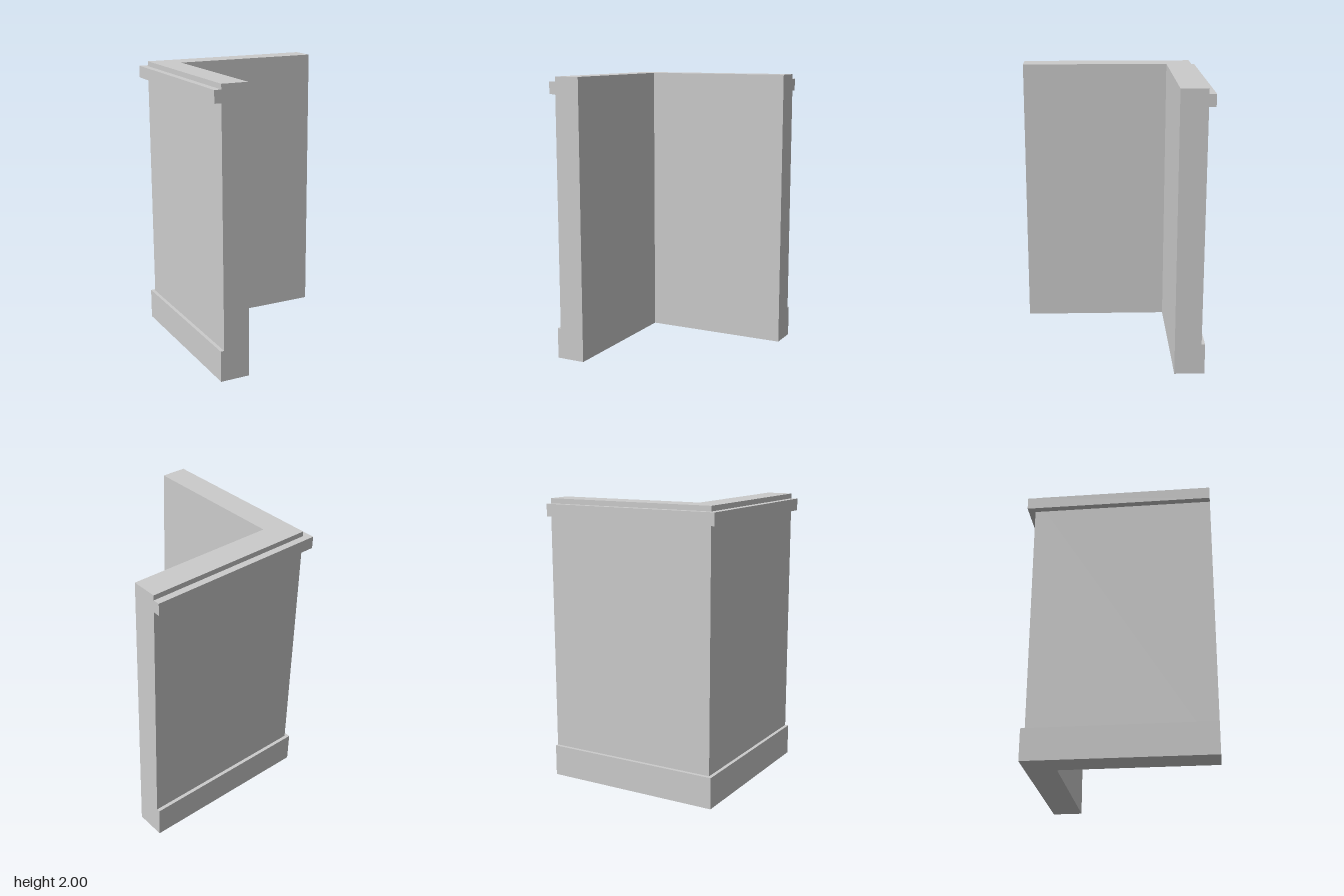
import * as THREE from 'three';

const END = 0.648;    // free ends of both wall arms
const INNER = -0.415; // room-side face
const OUTER = -0.6;   // outside face

// L-shaped course between two offsets, from height y0 to y1
function cornerCourse(name, outer, inner, y0, y1, material) {
  const plan = [
    [outer, END], [inner, END], [inner, inner],
    [END, inner], [END, outer], [outer, outer],
  ].map(([x, z]) => new THREE.Vector2(x, -z));
  const geometry = new THREE.ExtrudeGeometry(new THREE.Shape(plan), {
    depth: y1 - y0, bevelEnabled: false,
  });
  geometry.rotateX(-Math.PI / 2);
  geometry.translate(0, y0, 0);
  const mesh = new THREE.Mesh(geometry, material);
  mesh.name = name;
  return mesh;
}

export function createModel() {
  const plaster = new THREE.MeshStandardMaterial({ color: 0xcccccc });
  plaster.name = 'light grey plaster';

  const group = new THREE.Group();
  group.name = 'wallCorner';
  group.add(
    cornerCourse('wall', OUTER, INNER, 0, 2, plaster),
    // mouldings on the outside faces only
    cornerCourse('baseboard', -0.625, OUTER, 0, 0.22, plaster),
    cornerCourse('topMoulding', -END, OUTER, 1.88, 1.965, plaster),
  );
  return group;
}
